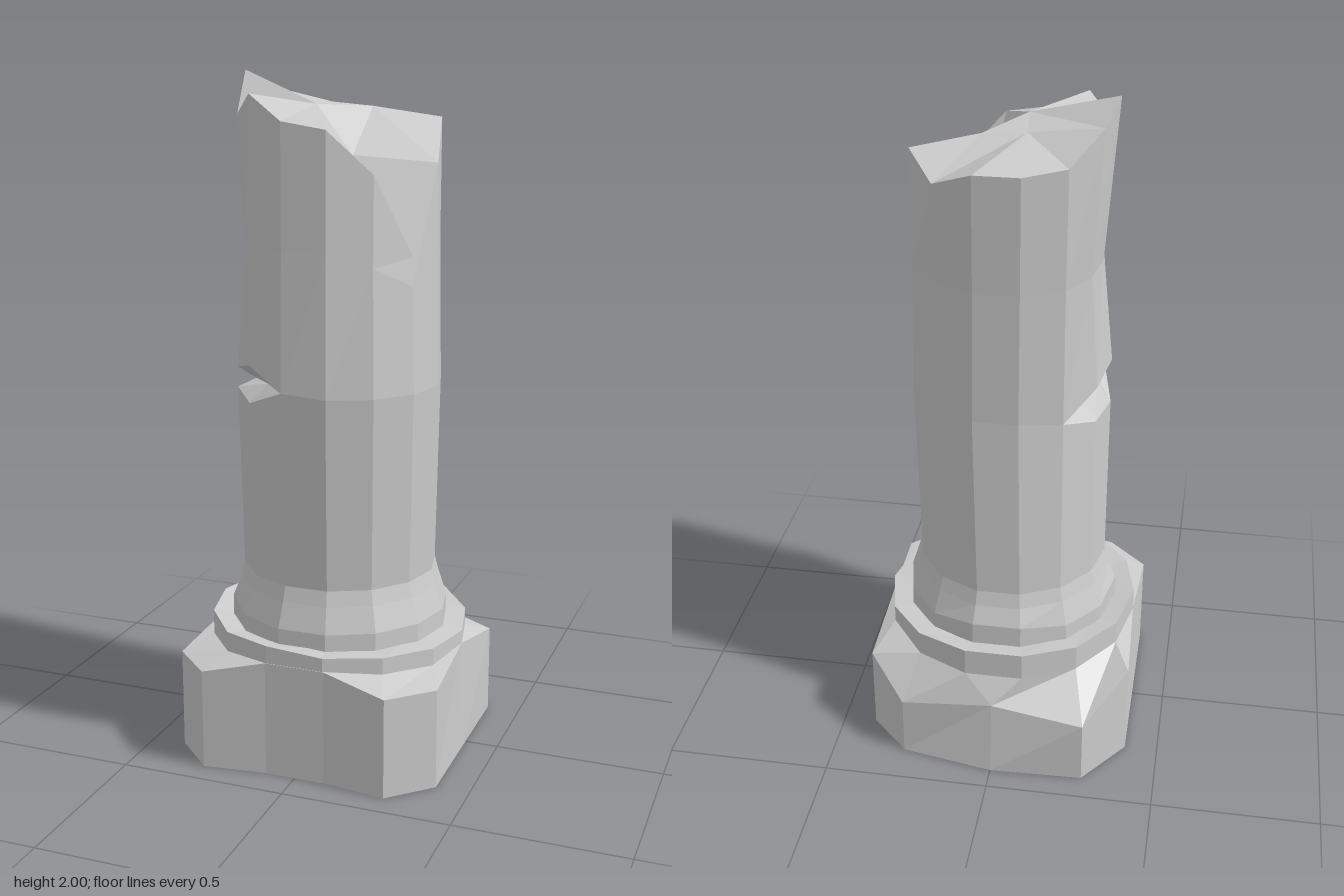
import * as THREE from 'three';

const N = 14; // sides of the column
const material = new THREE.MeshStandardMaterial({ color: 0xcccccc, flatShading: true });

// One loop of N corners; y may be a number or a height per corner, scale an optional radius factor
function ring(r, y, { x = 0, z = 0.022, scale = {} } = {}) {
  return Array.from({ length: N }, (_, k) => {
    const a = (k * 2 * Math.PI) / N;
    const rk = r * (scale[k] ?? 1);
    return [x + rk * Math.cos(a), Array.isArray(y) ? y[k] : y, z + rk * Math.sin(a)];
  });
}

// Same height everywhere except at the listed corners
const heights = (base, changes) => Array.from({ length: N }, (_, k) => changes[k] ?? base);

// Skin between successive loops, plus any extra triangles; empty triangles are skipped
function loft(name, loops, extra = []) {
  const pos = [];
  const tri = (a, b, c) => {
    const [A, B, C] = [a, b, c].map((p) => new THREE.Vector3(...p));
    if (B.clone().sub(A).cross(C.clone().sub(A)).length() > 1e-7) pos.push(...a, ...b, ...c);
  };
  for (let i = 0; i + 1 < loops.length; i++) {
    const lo = loops[i], hi = loops[i + 1];
    for (let k = 0; k < N; k++) {
      const n = (k + 1) % N;
      tri(lo[n], lo[k], hi[k]);
      tri(lo[n], hi[k], hi[n]);
    }
  }
  extra.forEach((t) => tri(...t));
  const geo = new THREE.BufferGeometry();
  geo.setAttribute('position', new THREE.Float32BufferAttribute(pos, 3));
  geo.computeVertexNormals();
  const mesh = new THREE.Mesh(geo, material);
  mesh.name = name;
  return mesh;
}

export function createModel() {
  const group = new THREE.Group();
  group.name = 'brokenColumn';

  // Chipped square block with cut corners; its top rises to meet the disc
  const plan = [
    [0.4, 0.025], [0.4, 0.31], [0.28, 0.425], [0.09, 0.402], [-0.09, 0.402], [-0.28, 0.425], [-0.4, 0.31],
    [-0.4, 0.025], [-0.4, -0.26], [-0.28, -0.42], [0, -0.43], [0, -0.43], [0.28, -0.38], [0.4, -0.26],
  ];
  const blockTopY = [0.33, 0.3, 0.3, 0.345, 0.345, 0.3, 0.3, 0.33, 0.3, 0.2, 0.23, 0.23, 0.19, 0.27];
  const discLowY = [0.33, 0.32, 0.33, 0.345, 0.345, 0.33, 0.32, 0.33, 0.32, 0.31, 0.31, 0.31, 0.31, 0.32];
  const blockLow = plan.map(([x, z]) => [x, 0, z]);
  const blockTop = plan.map(([x, z], k) => [x, blockTopY[k], z]);
  blockTop[0][0] = 0.388;
  blockTop[7][0] = -0.388;
  blockTop[10][2] = blockTop[11][2] = -0.4;
  const underside = blockLow.map((p, k) => [[0, 0, 0], p, blockLow[(k + 1) % N]]);
  group.add(loft('baseBlock', [blockLow, blockTop, ring(0.388, discLowY)], underside));

  // Uneven disc
  const discTopY = [0.37, 0.372, 0.38, 0.385, 0.398, 0.39, 0.395, 0.4, 0.395, 0.39, 0.395, 0.395, 0.385, 0.375];
  group.add(loft('baseDisc', [ring(0.388, discLowY), ring(0.388, discTopY), ring(0.3, 0.378)]));

  // Moulding that tapers into the shaft
  group.add(loft('baseMoulding', [
    ring(0.328, 0.365),
    ring(0.326, heights(0.43, { 6: 0.445, 7: 0.445, 10: 0.45, 11: 0.45 })),
    ring(0.302, 0.505),
    ring(0.29, 0.55),
  ]));

  // Slightly bent shaft with a wedge knocked out of its side
  const bend = { x: 0.01, z: 0.052 };
  const lipLow = heights(1.12, { 4: 1.13, 5: 1.08, 6: 1.1, 7: 1.06, 8: 1.06, 9: 1.1 });
  const notchY = heights(1.12, { 4: 1.13, 5: 1.13, 6: 1.125, 7: 1.12, 8: 1.11, 9: 1.1 });
  const lipHigh = heights(1.12, { 4: 1.13, 5: 1.19, 6: 1.16, 7: 1.2, 8: 1.17, 9: 1.1 });
  const rimY = [1.75, 1.5, 1.73, 1.85, 1.87, 1.94, 1.88, 2.0, 1.95, 1.87, 1.86, 1.86, 1.81, 1.87];
  const rim = ring(0.292, rimY);
  group.add(loft('shaft', [
    ring(0.29, 0.55),
    ring(0.299, lipLow, bend),
    ring(0.299, notchY, { ...bend, scale: { 5: 0.8, 6: 0.82, 7: 0.84, 8: 0.84 } }),
    ring(0.299, lipHigh, bend),
    ring(0.292, heights(1.52, { 0: 1.48, 1: 1.42, 2: 1.48 }),
      { x: 0.004, z: 0.036, scale: { 6: 0.94, 7: 0.89, 8: 0.92 } }),
    rim,
  ]));

  // Jagged broken top: the rim is joined to a few inner points
  const A = [-0.05, 1.91, -0.05], B = [0.075, 1.9, -0.045], C = [-0.03, 1.91, 0.125];
  const D = [0.065, 1.77, 0.095], E = [0.19, 1.62, 0.15];
  const inner = [D, E, D, C, C, C, C, C, A, A, A, A, B, B];
  group.add(loft('brokenTop', [rim, inner], [[C, D, B], [C, B, A]]));

  return group;
}
